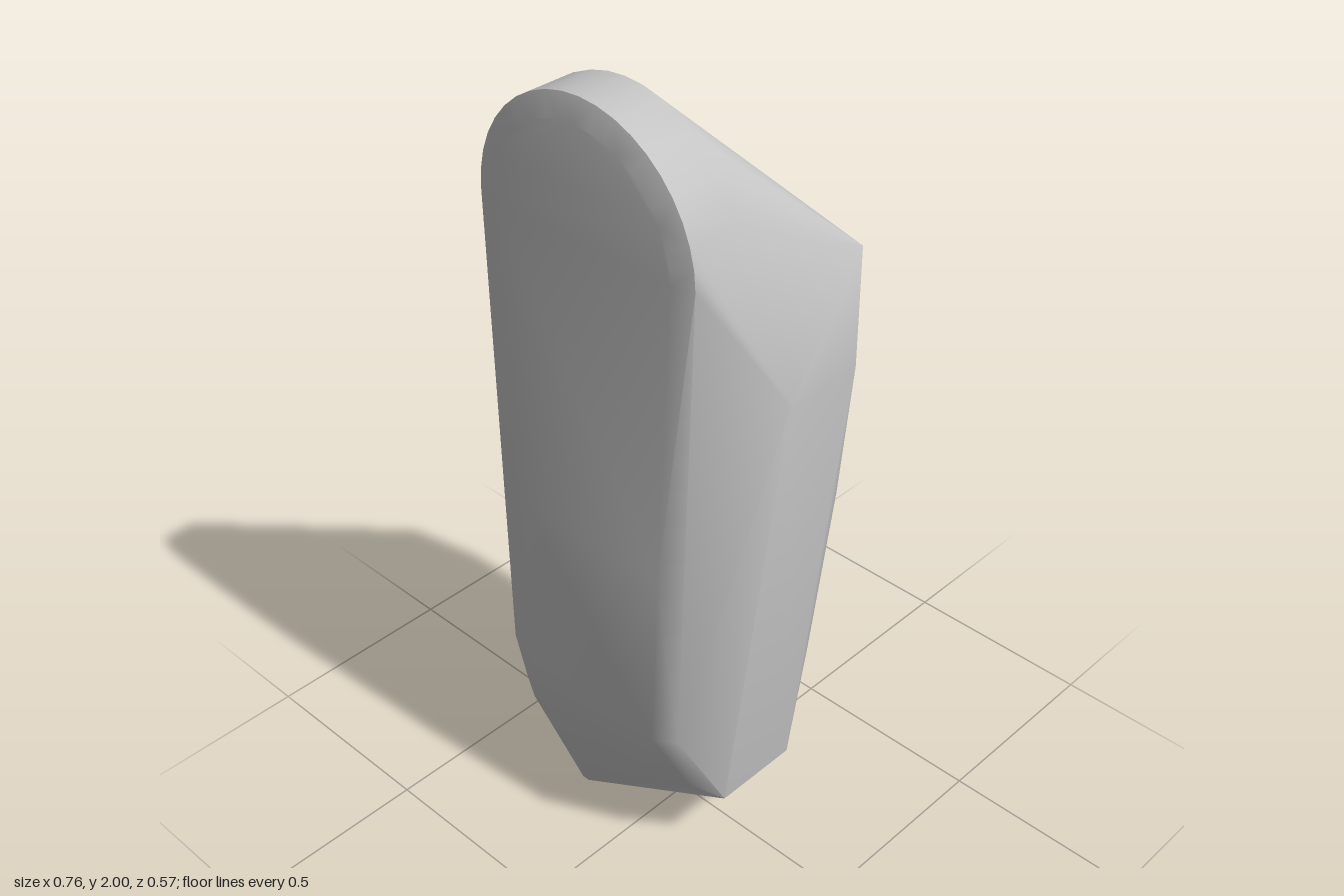
import * as THREE from 'three';
import { ConvexGeometry } from 'three/addons/geometries/ConvexGeometry.js';
import { toCreasedNormals } from 'three/addons/utils/BufferGeometryUtils.js';

export function createModel() {
  const group = new THREE.Group();
  const stone = new THREE.MeshStandardMaterial({ color: 0xc4c4c4 });
  stone.name = 'pale grey stone';

  const points = [];
  const add = (x, y, z) => points.push(new THREE.Vector3(x, y, z));

  // rounded head: front face rim, outer rim and the start of the back slope
  const steps = 20;
  for (let i = 0; i <= steps; i++) {
    const a = (i / steps) * Math.PI;
    const c = Math.cos(a), s = Math.sin(a);
    add(-0.01 + 0.25 * c, 1.7 + 0.25 * s, 0.289);
    add(-0.01 + 0.3 * c, 1.7 + 0.3 * s, 0.273);
    add(-0.01 + 0.3 * c, 1.7 + 0.3 * s, 0.15 + (c < 0 ? 0.04 * c * c : 0));
  }

  // body cross-sections: height, then x, z around the outline
  const sections = [
    [1.63, [0.325, -0.18]],
    [1.4, [0.38, 0.09], [0.38, -0.11], [0.28, -0.222], [-0.15, -0.225]],
    [1.27, [-0.25, -0.25], [0.25, -0.245]],
    [0.95, [-0.23, 0.281], [0.19, 0.281], [-0.33, 0.25], [-0.346, 0.15],
      [-0.345, -0.15], [-0.3, -0.285], [0.18, -0.275], [0.26, -0.225]],
    [0.45, [-0.25, 0.264], [0.15, 0.264], [-0.345, 0.235], [0.2, 0.23],
      [-0.374, 0.17], [-0.372, -0.18], [-0.335, -0.265], [-0.2, -0.28], [0.13, -0.27], [0.2, -0.225]],
    [0.27, [-0.384, 0.13], [-0.384, -0.13], [-0.37, 0.185], [-0.365, -0.21],
      [-0.3, 0.225], [-0.3, -0.242], [0.08, 0.22], [0.08, -0.238], [0.19, 0.18]],
    [0.2, [0.235, 0.105], [0.235, -0.12], [0.18, -0.19]],
    [0.03, [-0.19, -0.18]],
    [0, [-0.21, 0.155], [-0.19, 0.155], [-0.21, -0.15], [-0.19, -0.15]],
  ];
  for (const [y, ...ring] of sections) for (const [x, z] of ring) add(x, y, z);

  // one faceted stone with softly blended shallow edges
  const geometry = toCreasedNormals(new ConvexGeometry(points), 0.65);
  const mesh = new THREE.Mesh(geometry, stone);
  mesh.name = 'standingStone';
  group.add(mesh);
  return group;
}
